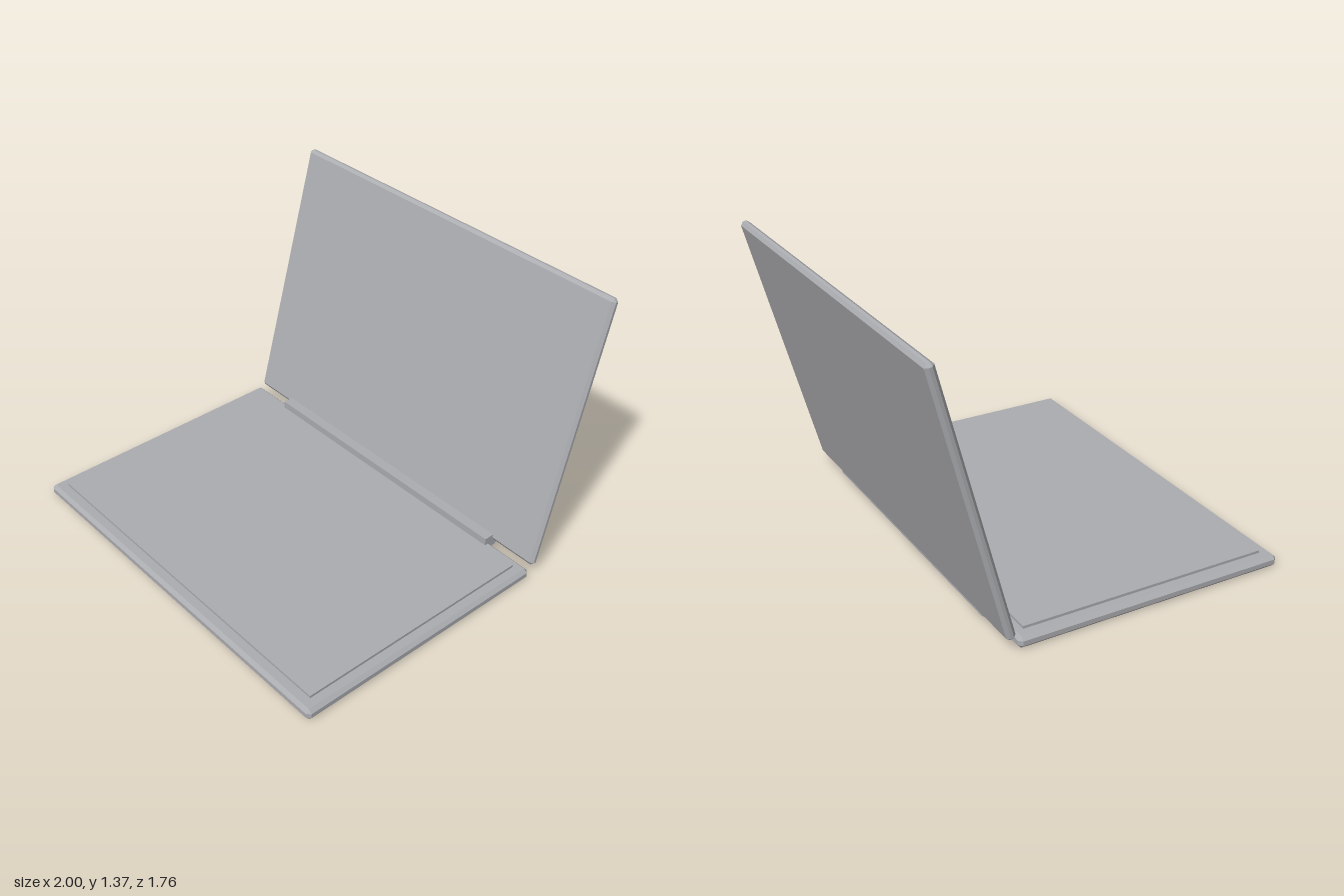
import * as THREE from 'three';
import { ConvexGeometry } from 'three/addons/geometries/ConvexGeometry.js';

// Box with every edge and corner cut at an angle
function chamferedBox(w, h, d, c) {
  const points = [];
  for (const sx of [-1, 1]) for (const sy of [-1, 1]) for (const sz of [-1, 1]) {
    for (let axis = 0; axis < 3; axis++) {
      const inset = [c, c, c];
      inset[axis] = 0;
      points.push(new THREE.Vector3(
        sx * (w / 2 - inset[0]), sy * (h / 2 - inset[1]), sz * (d / 2 - inset[2])));
    }
  }
  return new ConvexGeometry(points);
}

export function createModel() {
  const model = new THREE.Group();
  model.name = 'laptop';
  const grey = new THREE.MeshStandardMaterial({ color: 0xacadb1 });
  grey.name = 'casing grey';

  function add(name, geometry, x, y, z) {
    const mesh = new THREE.Mesh(geometry, grey);
    mesh.name = name;
    mesh.position.set(x, y, z);
    model.add(mesh);
    return mesh;
  }

  // Lower half with its raised inner deck
  add('base', chamferedBox(2, 0.057, 1.36, 0.017), 0, 0.0285, 0.2);
  add('deck', new THREE.BoxGeometry(1.88, 0.02, 1.25), 0, 0.06, 0.195);

  // Screen half, leaning back
  const lid = add('lid', chamferedBox(2, 1.36, 0.045, 0.015), 0, 0.716, -0.686);
  lid.rotation.x = -THREE.MathUtils.degToRad(15);

  // Hinge bar: profile drawn in (-z, y), extruded along x
  const profile = new THREE.Shape([
    [0.443, 0.045], [0.475, 0.03], [0.51, 0.03], [0.525, 0.043],
    [0.525, 0.06], [0.5, 0.07], [0.5, 0.095], [0.443, 0.095],
  ].map(([x, y]) => new THREE.Vector2(x, y)));
  const bar = new THREE.ExtrudeGeometry(profile, { depth: 1.5, bevelEnabled: false });
  bar.rotateY(Math.PI / 2);
  add('hinge', bar, -0.75, 0, 0);

  return model;
}
